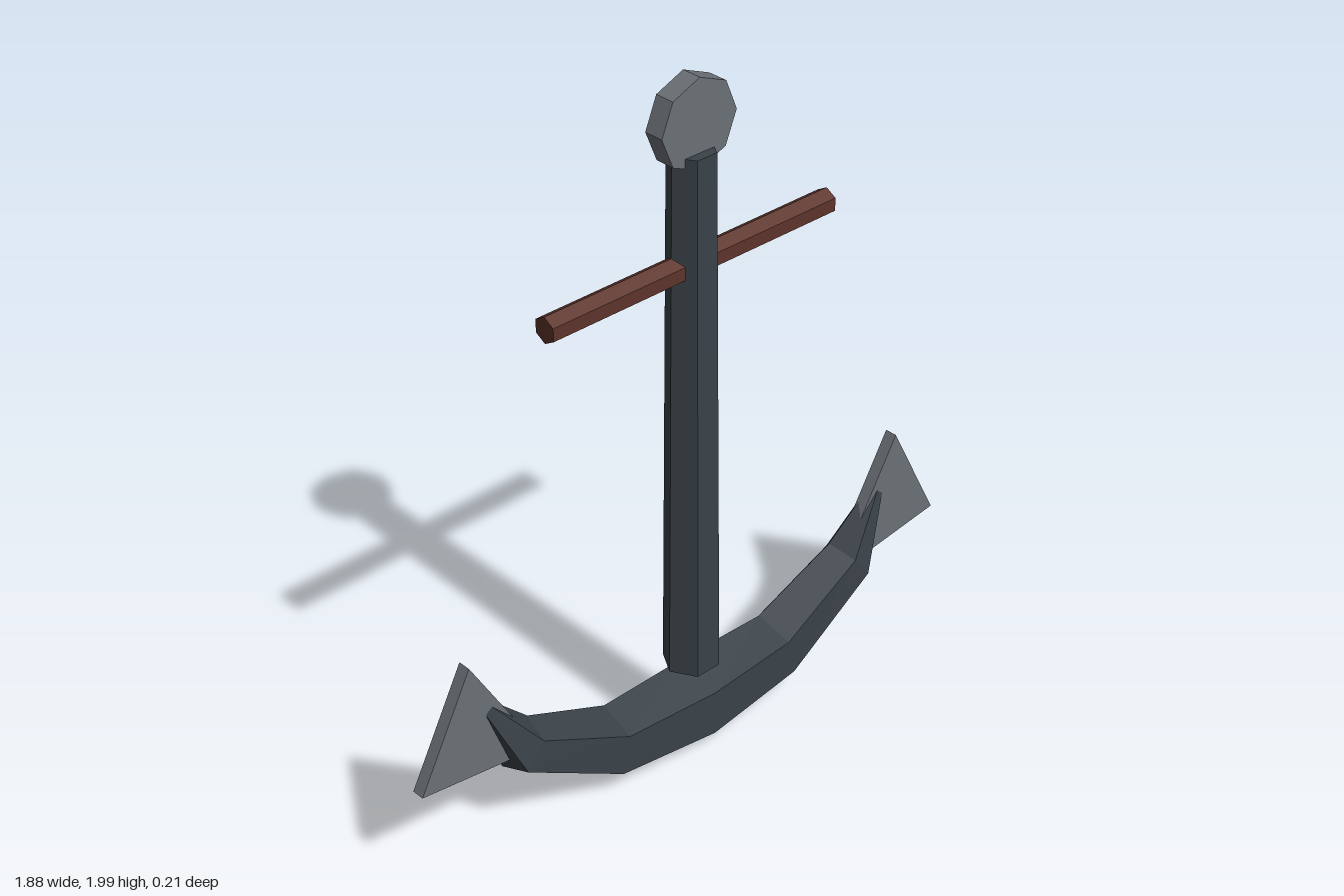
import * as THREE from 'three';

const iron = new THREE.MeshStandardMaterial({ color: 0x3a4248 });
iron.name = 'dark iron';
const steel = new THREE.MeshStandardMaterial({ color: 0x6b7076 });
steel.name = 'grey steel';
const wood = new THREE.MeshStandardMaterial({ color: 0x5c332b });
wood.name = 'brown wood';

// Faceted mesh: every face gets its own normal
function facetedMesh(name, geometry, material) {
  const flat = geometry.index ? geometry.toNonIndexed() : geometry;
  flat.computeVertexNormals();
  const mesh = new THREE.Mesh(flat, material);
  mesh.name = name;
  return mesh;
}

// Curved arm: pentagon sections swept from right tip to left tip
function armGeometry() {
  const half = [ // x, y, radius, tilt of the section
    [0, 0.118, 0.118, 0],
    [0.31, 0.138, 0.1, 0.21],
    [0.605, 0.292, 0.078, 0.66],
    [0.73, 0.5, 0.016, 1.0],
  ];
  const mirrored = half.slice(1).reverse().map(([x, y, r, t]) => [-x, y, r, -t]);
  const stations = [...mirrored, ...half];
  const sides = 5;
  const positions = [];
  const index = [];
  for (const [x, y, r, tilt] of stations) {
    for (let i = 0; i < sides; i++) {
      const a = (i / sides) * Math.PI * 2;
      const n = r * Math.sin(a);
      positions.push(x - n * Math.sin(tilt), y + n * Math.cos(tilt), -r * Math.cos(a));
    }
  }
  for (let k = 0; k < stations.length - 1; k++) {
    for (let i = 0; i < sides; i++) {
      const a = k * sides + i;
      const b = k * sides + ((i + 1) % sides);
      index.push(a, b, a + sides, b, b + sides, a + sides);
    }
  }
  // Tip caps
  const last = (stations.length - 1) * sides;
  for (let i = 1; i < sides - 1; i++) {
    index.push(0, i + 1, i, last, last + i, last + i + 1);
  }
  const geometry = new THREE.BufferGeometry();
  geometry.setAttribute('position', new THREE.Float32BufferAttribute(positions, 3));
  geometry.setIndex(index);
  return geometry;
}

// Triangular fluke plate, side = +1 (left) or -1 (right)
function flukeGeometry(side) {
  const depth = 0.037;
  const shape = new THREE.Shape([
    new THREE.Vector2(side * 0.94, 0.322),
    new THREE.Vector2(side * 0.772, 0.642),
    new THREE.Vector2(side * 0.555, 0.27),
  ]);
  return new THREE.ExtrudeGeometry(shape, { depth, bevelEnabled: false }).translate(0, 0, -depth / 2);
}

export function createModel() {
  const anchor = new THREE.Group();
  anchor.name = 'anchor';

  // Tapered hexagonal shank
  const shank = new THREE.CylinderGeometry(0.065, 0.08, 1.55, 6).rotateY(Math.PI / 6);
  anchor.add(facetedMesh('shank', shank.translate(0, 1.025, 0), iron));

  // Octagonal head plate
  const head = new THREE.CylinderGeometry(0.123, 0.123, 0.058, 8).rotateX(Math.PI / 2);
  anchor.add(facetedMesh('head', head.translate(0, 1.877, 0), steel));

  // Wooden crossbar
  const stock = new THREE.CylinderGeometry(0.037, 0.037, 0.955, 6).rotateY(Math.PI / 2).rotateZ(Math.PI / 2);
  anchor.add(facetedMesh('stock', stock.translate(0, 1.487, 0), wood));

  anchor.add(facetedMesh('arm', armGeometry(), iron));
  anchor.add(facetedMesh('leftFluke', flukeGeometry(1), steel));
  anchor.add(facetedMesh('rightFluke', flukeGeometry(-1), steel));

  // Centre the depth of the five-sided arm
  anchor.position.z = 0.011;
  return anchor;
}
